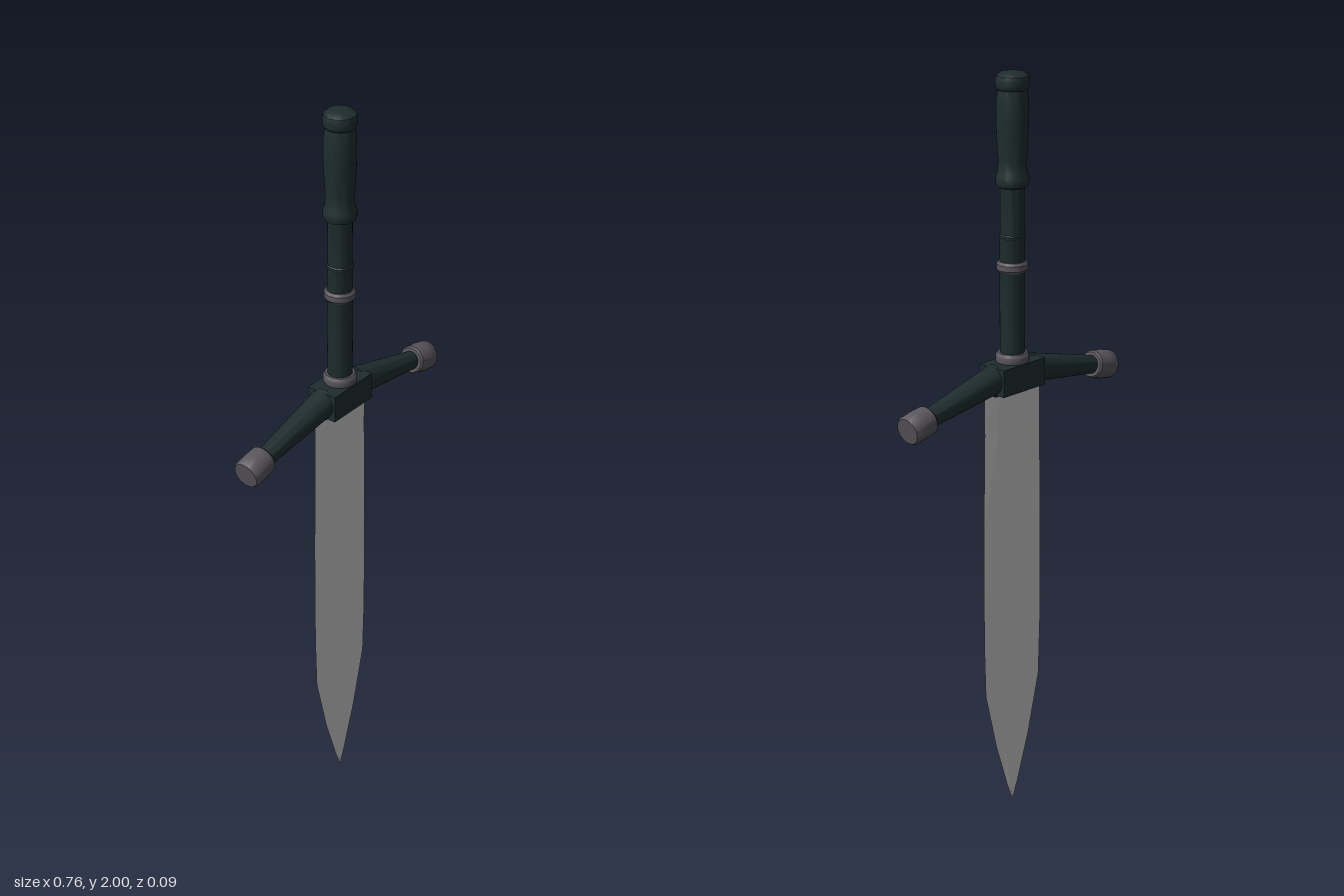
import * as THREE from 'three';
import { toCreasedNormals, mergeVertices } from 'three/addons/utils/BufferGeometryUtils.js';

const dark = new THREE.MeshStandardMaterial({ color: 0x1e2c2d });
dark.name = 'darkGrip';
const grey = new THREE.MeshStandardMaterial({ color: 0x58555b });
grey.name = 'greyMetal';
const steel = new THREE.MeshStandardMaterial({ color: 0xc9c9c9, flatShading: true });
steel.name = 'bladeSteel';

// Lathe from [radius, y] pairs listed bottom to top
function turned(name, points, material) {
  const lathe = new THREE.LatheGeometry(points.map(([r, y]) => new THREE.Vector2(r, y)), 32);
  const mesh = new THREE.Mesh(toCreasedNormals(lathe, 0.6), material);
  mesh.name = name;
  return mesh;
}

// Blade skinned through six-sided sections that narrow to the tip
function bladeGeometry() {
  const sections = [ // y, half width, half thickness
    [0, 0.0005, 0.0003], [0.05, 0.02, 0.003], [0.18, 0.062, 0.005], [0.345, 0.102, 0.007],
    [0.5, 0.107, 0.007], [0.8, 0.107, 0.008], [1.08, 0.102, 0.009], [1.21, 0.102, 0.01],
  ];
  const ring = [[1, 0], [0.6, 0.8], [0, 1], [-0.6, 0.8], [-1, 0], [-0.6, -0.8], [0, -1], [0.6, -0.8]];
  const n = ring.length, position = [], index = [];
  for (const [y, w, t] of sections) for (const [x, z] of ring) position.push(x * w, y, z * t);
  for (let s = 0; s < sections.length - 1; s++) {
    for (let i = 0; i < n; i++) {
      const a = s * n + i, b = s * n + (i + 1) % n;
      index.push(a, a + n, b, b, a + n, b + n);
    }
  }
  const top = (sections.length - 1) * n;
  for (let i = 1; i < n - 1; i++) {
    index.push(i, 0, i + 1, top, top + i + 1, top + i);
  }
  const geometry = new THREE.BufferGeometry();
  geometry.setAttribute('position', new THREE.Float32BufferAttribute(position, 3));
  geometry.setIndex(index);
  const flat = mergeVertices(geometry).toNonIndexed();
  flat.computeVertexNormals();
  return flat;
}

export function createModel() {
  const model = new THREE.Group();
  model.name = 'sword';

  const blade = new THREE.Mesh(bladeGeometry(), steel);
  blade.name = 'blade';
  blade.material.side = THREE.DoubleSide;
  model.add(blade);

  // Small collar on the blade under the guard
  const collar = new THREE.Mesh(new THREE.BoxGeometry(0.15, 0.05, 0.026), dark);
  collar.name = 'bladeCollar';
  collar.position.y = 1.205;
  model.add(collar);

  // Guard block
  const block = new THREE.Mesh(new THREE.BoxGeometry(0.152, 0.072, 0.086), dark);
  block.name = 'guardBlock';
  block.position.y = 1.222;
  model.add(block);

  // Drooping tapered arms with rounded metal caps
  for (const side of [-1, 1]) {
    const arm = new THREE.Group();
    arm.name = side > 0 ? 'leftGuardArm' : 'rightGuardArm';
    arm.position.set(side * 0.06, 1.226, 0);
    arm.rotation.z = side * (-Math.PI / 2 - 0.2);
    arm.add(turned('armTaper', [[0, 0], [0.038, 0], [0.024, 0.255], [0, 0.255]], dark));
    arm.add(turned('armCap', [
      [0, 0.246], [0.033, 0.246], [0.037, 0.251], [0.039, 0.285],
      [0.038, 0.314], [0.034, 0.32], [0, 0.321],
    ], grey));
    model.add(arm);
  }

  // Lower and upper grip with swollen hand section and domed pommel
  model.add(turned('grip', [
    [0, 1.25], [0.032, 1.25], [0.032, 1.58], [0.034, 1.583], [0.034, 1.589], [0.031, 1.592],
    [0.031, 1.71], [0.039, 1.714], [0.042, 1.722], [0.042, 1.738], [0.037, 1.748],
    [0.036, 1.78], [0.039, 1.83], [0.041, 1.88], [0.04, 1.93], [0.036, 1.955],
  ], dark));
  model.add(turned('pommel', [
    [0.036, 1.953], [0.042, 1.961], [0.043, 1.978], [0.04, 1.988], [0.03, 1.996], [0.015, 1.999], [0, 2],
  ], dark));

  // Metal rings around the grip
  for (const [name, y, r, h] of [['middleRing', 1.508, 0.04, 0.028], ['baseRing', 1.268, 0.043, 0.03]]) {
    model.add(turned(name, [
      [0.028, y - h / 2], [r - 0.005, y - h / 2], [r, y - h / 4],
      [r, y + h / 4], [r - 0.005, y + h / 2], [0.028, y + h / 2],
    ], grey));
  }

  return model;
}
